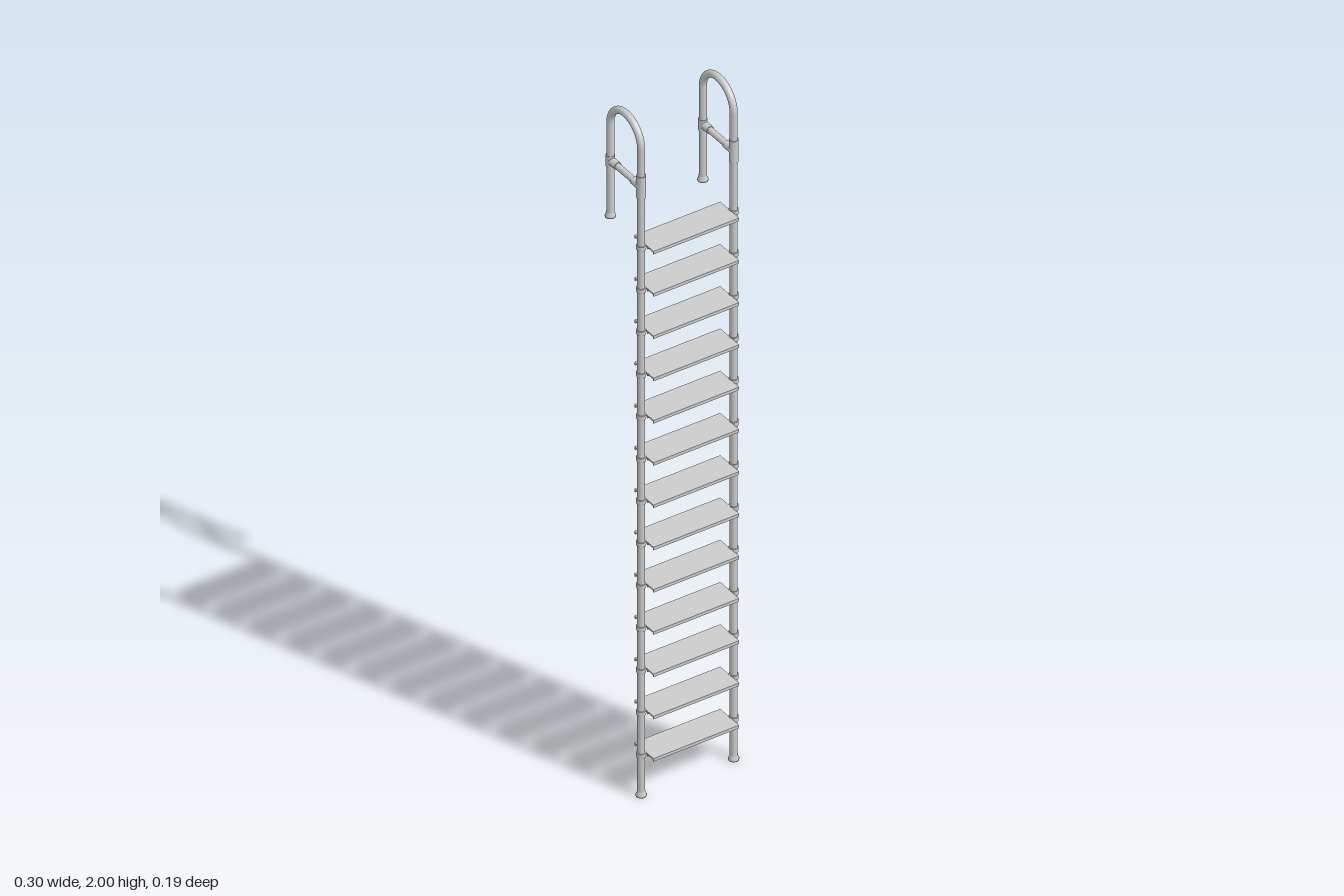
import * as THREE from 'three';

const RAIL_X = 0.135, FRONT_Z = 0.054, BACK_Z = -0.08, R = 0.0098;
const TREADS = 13, FIRST = 0.123, STEP = 0.1258;

export function createModel() {
  const group = new THREE.Group();
  const mat = new THREE.MeshStandardMaterial({ color: 0xcccccc });

  const add = (name, geo, x = 0, y = 0, z = 0, parent = group) => {
    const m = new THREE.Mesh(geo, mat);
    m.name = name;
    m.position.set(x, y, z);
    parent.add(m);
    return m;
  };
  const cyl = (r, h, r2 = r) => new THREE.CylinderGeometry(r, r2, h, 24);

  // One continuous handrail: front upright, hoop, short back leg
  const arcR = (FRONT_Z - BACK_Z) / 2, midZ = (FRONT_Z + BACK_Z) / 2;
  const arcY = 2 - R - arcR;
  const path = new THREE.CurvePath();
  const pts = [[0.004, FRONT_Z]];
  for (let i = 0; i <= 24; i++) {
    const a = (Math.PI * i) / 24;
    pts.push([arcY + arcR * Math.sin(a), midZ + arcR * Math.cos(a)]);
  }
  pts.push([1.655, BACK_Z]);
  const v = pts.map(([y, z]) => new THREE.Vector3(0, y, z));
  for (let i = 1; i < v.length; i++) path.add(new THREE.LineCurve3(v[i - 1], v[i]));
  // Sample straight legs only at their ends and the hoop densely
  path.getPointAt = (u) => {
    const s = u * (v.length - 1), i = Math.min(Math.floor(s), v.length - 2);
    return v[i].clone().lerp(v[i + 1], s - i);
  };
  path.getTangentAt = (u) => {
    const i = Math.round(u * (v.length - 1));
    return v[Math.min(i + 1, v.length - 1)].clone().sub(v[Math.max(i - 1, 0)]).normalize();
  };
  // Legs stay straight where they meet the hoop
  const tangentAt = path.getTangentAt;
  path.getTangentAt = (u) => {
    const i = Math.round(u * (v.length - 1));
    if (i <= 1) return new THREE.Vector3(0, 1, 0);
    if (i >= v.length - 2) return new THREE.Vector3(0, -1, 0);
    return tangentAt(u);
  };
  const railGeo = new THREE.TubeGeometry(path, v.length - 1, R, 20, false);

  // Flared rubber foot
  const footGeo = new THREE.LatheGeometry([
    [0, 0], [0.0135, 0], [0.0135, 0.005], [0.011, 0.009], [0.0105, 0.014], [0.0095, 0.014],
  ].map((p) => new THREE.Vector2(...p)), 24);

  for (const s of [1, -1]) {
    const side = new THREE.Group();
    side.name = s > 0 ? 'leftRail' : 'rightRail';
    side.position.x = s * RAIL_X;
    group.add(side);
    add('handrail', railGeo, 0, 0, 0, side);
    add('frontFoot', footGeo, 0, 0, FRONT_Z, side);
    add('backFoot', footGeo, 0, 1.645, BACK_Z, side);

    // Tee sleeves and brace across the hoop
    add('frontSleeve', cyl(0.012, 0.065), 0, 1.813, FRONT_Z, side);
    add('backSleeve', cyl(0.0115, 0.032), 0, 1.812, BACK_Z, side);
    const bar = (name, r, z0, z1) => {
      add(name, cyl(r, z1 - z0), 0, 1.812, (z0 + z1) / 2, side).rotation.x = Math.PI / 2;
    };
    bar('brace', 0.0085, BACK_Z, FRONT_Z);
    bar('braceSocket', 0.0108, BACK_Z, -0.048);
    bar('braceSocket', 0.0108, 0.022, FRONT_Z);

    // Clamp collars holding each tread
    for (let i = 0; i < TREADS; i++) {
      add('treadCollar', cyl(0.0122, 0.012), 0, FIRST + i * STEP, FRONT_Z, side);
    }
  }

  // Tread section: thin plate with folded lips and stiffening ribs below
  const hw = 0.041, top = 0.005, under = 0.001, low = -0.004;
  const section = new THREE.Shape();
  section.moveTo(-hw, top);
  section.lineTo(-hw, low);
  for (const c of [-hw + 0.0015, -0.014, 0.014, hw - 0.0015]) {
    section.lineTo(c - 0.0015, c < -0.03 ? low : under);
    section.lineTo(c - 0.0015, low);
    section.lineTo(c + 0.0015, low);
    if (c < 0.03) section.lineTo(c + 0.0015, under);
  }
  section.lineTo(hw, top);
  const treadGeo = new THREE.ExtrudeGeometry(section, { depth: 0.25, bevelEnabled: false });
  treadGeo.translate(0, 0, -0.125);
  treadGeo.rotateY(Math.PI / 2);
  for (let i = 0; i < TREADS; i++) {
    const y = FIRST + i * STEP;
    add('tread', treadGeo, 0, y, 0.0515);
    // Pins joining the tread ends to the collars
    for (const s of [1, -1]) {
      add('treadPin', new THREE.BoxGeometry(0.014, 0.006, 0.014), s * 0.1255, y, FRONT_Z);
    }
  }
  return group;
}
